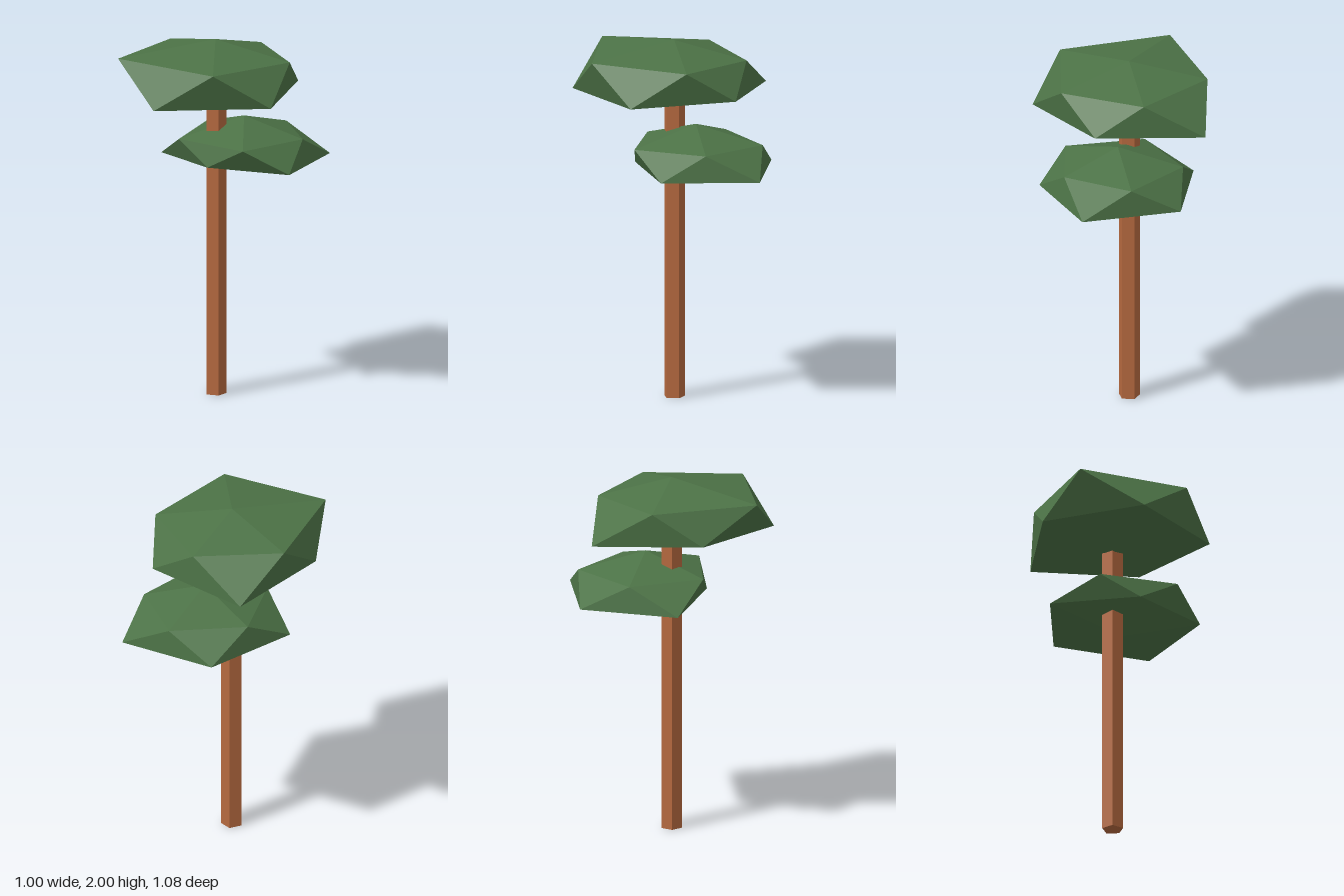
import * as THREE from 'three';

// Faceted leaf clump: top point, two staggered rings of five, bottom point
function leafClump(top, upper, lower, bottom, material) {
  const pos = [];
  const tri = (...corners) => corners.forEach((c) => pos.push(...c));
  const n = upper.length;
  for (let i = 0; i < n; i++) {
    const j = (i + 1) % n;
    tri(top, upper[j], upper[i]);
    tri(upper[i], upper[j], lower[i]);
    tri(lower[i], upper[j], lower[j]);
    tri(bottom, lower[i], lower[j]);
  }
  const geometry = new THREE.BufferGeometry();
  geometry.setAttribute('position', new THREE.Float32BufferAttribute(pos, 3));
  geometry.computeVertexNormals();
  return new THREE.Mesh(geometry, material);
}

export function createModel() {
  const tree = new THREE.Group();
  tree.name = 'tree';

  const bark = new THREE.MeshStandardMaterial({ color: 0xb5693f, flatShading: true });
  bark.name = 'bark brown';
  const leaf = new THREE.MeshStandardMaterial({ color: 0x4c7246, flatShading: true });
  leaf.name = 'leaf green';

  // Five-sided trunk with a flat side to the front
  const height = 1.75;
  const trunk = new THREE.Mesh(new THREE.CylinderGeometry(0.06, 0.06, height, 5), bark);
  trunk.name = 'trunk';
  trunk.rotation.y = Math.PI;
  trunk.position.set(-0.03, height / 2, 0);
  tree.add(trunk);

  // Large crown
  const crown = leafClump(
    [-0.03, 2, 0],
    [[0.4, 1.905, 0], [0.125, 1.92, 0.48], [-0.48, 1.93, 0.325], [-0.38, 1.91, -0.25], [0.1, 1.9, -0.38]],
    [[0.4, 1.72, 0.31], [-0.2, 1.71, 0.535], [-0.5, 1.73, 0], [-0.2, 1.71, -0.535], [0.35, 1.73, -0.28]],
    [-0.03, 1.645, 0],
    leaf
  );
  crown.name = 'upperFoliage';
  tree.add(crown);

  // Smaller clump, set off to the back and left
  const clump = leafClump(
    [0.1, 1.555, -0.1],
    [[0.44, 1.45, -0.1], [0.22, 1.45, 0.26], [-0.2, 1.45, 0.12], [-0.19, 1.45, -0.31], [0.22, 1.45, -0.45]],
    [[0.45, 1.31, 0.15], [0, 1.33, 0.22], [-0.38, 1.305, -0.1], [-0.04, 1.305, -0.54], [0.495, 1.305, -0.39]],
    [0.1, 1.24, -0.1],
    leaf
  );
  clump.name = 'lowerFoliage';
  tree.add(clump);

  return tree;
}
